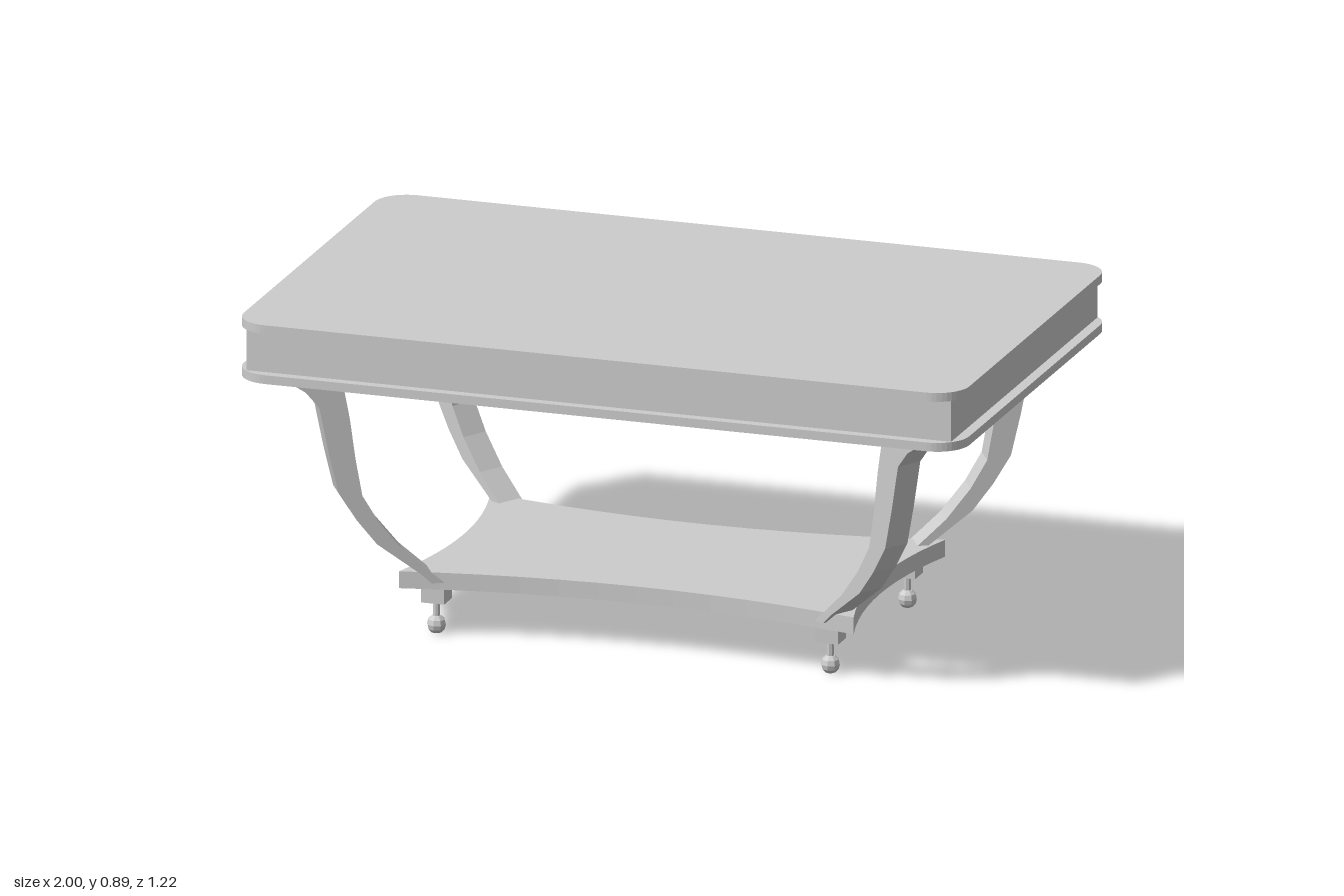
import * as THREE from 'three';

const material = new THREE.MeshStandardMaterial({ color: 0xcccccc, flatShading: true });

function add(parent, name, geometry, x = 0, y = 0, z = 0) {
  const mesh = new THREE.Mesh(geometry, material);
  mesh.name = name;
  mesh.position.set(x, y, z);
  parent.add(mesh);
  return mesh;
}

// Extrudes a plan outline upwards from y = 0
function plate(shape, height, curveSegments) {
  const g = new THREE.ExtrudeGeometry(shape, { depth: height, bevelEnabled: false, curveSegments });
  return g.rotateX(-Math.PI / 2);
}

function roundedRect(a, b, r) {
  const s = new THREE.Shape();
  s.absarc(a - r, b - r, r, 0, Math.PI / 2);
  s.absarc(-a + r, b - r, r, Math.PI / 2, Math.PI);
  s.absarc(-a + r, -b + r, r, Math.PI, Math.PI * 1.5);
  s.absarc(a - r, -b + r, r, Math.PI * 1.5, Math.PI * 2);
  s.closePath();
  return s;
}

// Rectangle whose four edges curve inwards
function concaveRect(a, b, dip) {
  const s = new THREE.Shape();
  s.moveTo(-a, -b);
  s.quadraticCurveTo(0, -b + 2 * dip, a, -b);
  s.quadraticCurveTo(a - 1.4 * dip, 0, a, b);
  s.quadraticCurveTo(0, b - 2 * dip, -a, b);
  s.quadraticCurveTo(-a + 1.4 * dip, 0, -a, -b);
  return s;
}

// Curved leg profile: distance outwards from the centre, height
function legGeometry() {
  const width = 0.077;
  const outer = [[0.645, 0.15], [0.675, 0.178], [0.79, 0.265], [0.845, 0.335], [0.892, 0.41],
    [0.918, 0.52], [0.943, 0.645], [0.98, 0.69], [1.05, 0.735]];
  const inner = [[0.897, 0.735], [0.877, 0.69], [0.862, 0.61], [0.847, 0.5], [0.829, 0.4],
    [0.785, 0.325], [0.72, 0.245], [0.645, 0.178], [0.61, 0.15]];
  const shape = new THREE.Shape([...outer, ...inner].map(([s, y]) => new THREE.Vector2(s, y)));
  const g = new THREE.ExtrudeGeometry(shape, { depth: width, bevelEnabled: false });
  return g.translate(0, 0, -width / 2);
}

export function createModel() {
  const table = new THREE.Group();
  table.name = 'coffeeTable';

  // Top: two rounded slabs with a square apron between them
  const slab = roundedRect(1, 0.61, 0.088);
  add(table, 'tabletop', plate(slab, 0.024, 5), 0, 0.866, 0);
  add(table, 'apron', new THREE.BoxGeometry(1.942, 0.114, 1.166), 0, 0.81, 0);
  add(table, 'lowerMoulding', plate(slab, 0.024, 5), 0, 0.73, 0);

  // Lower shelf
  add(table, 'shelf', plate(concaveRect(0.627, 0.365, 0.075), 0.046, 12), 0, 0.131, 0);

  // A splayed leg and a foot at each corner
  const leg = legGeometry();
  const block = new THREE.BoxGeometry(0.064, 0.044, 0.064);
  const stem = new THREE.CylinderGeometry(0.01, 0.01, 0.056, 8);
  const ball = new THREE.SphereGeometry(0.026, 8, 6);
  for (const sx of [-1, 1]) {
    for (const sz of [-1, 1]) {
      const corner = (sz > 0 ? 'front' : 'back') + (sx > 0 ? 'Left' : 'Right');
      add(table, corner + 'Leg', leg).rotation.y = -Math.atan2(sz * 0.5, sx * 0.866);

      const foot = new THREE.Group();
      foot.name = corner + 'Foot';
      foot.position.set(sx * 0.543, 0, sz * 0.307);
      add(foot, 'footBlock', block, 0, 0.112, 0);
      add(foot, 'footStem', stem, 0, 0.068, 0);
      add(foot, 'footBall', ball, 0, 0.026, 0);
      table.add(foot);
    }
  }
  return table;
}
